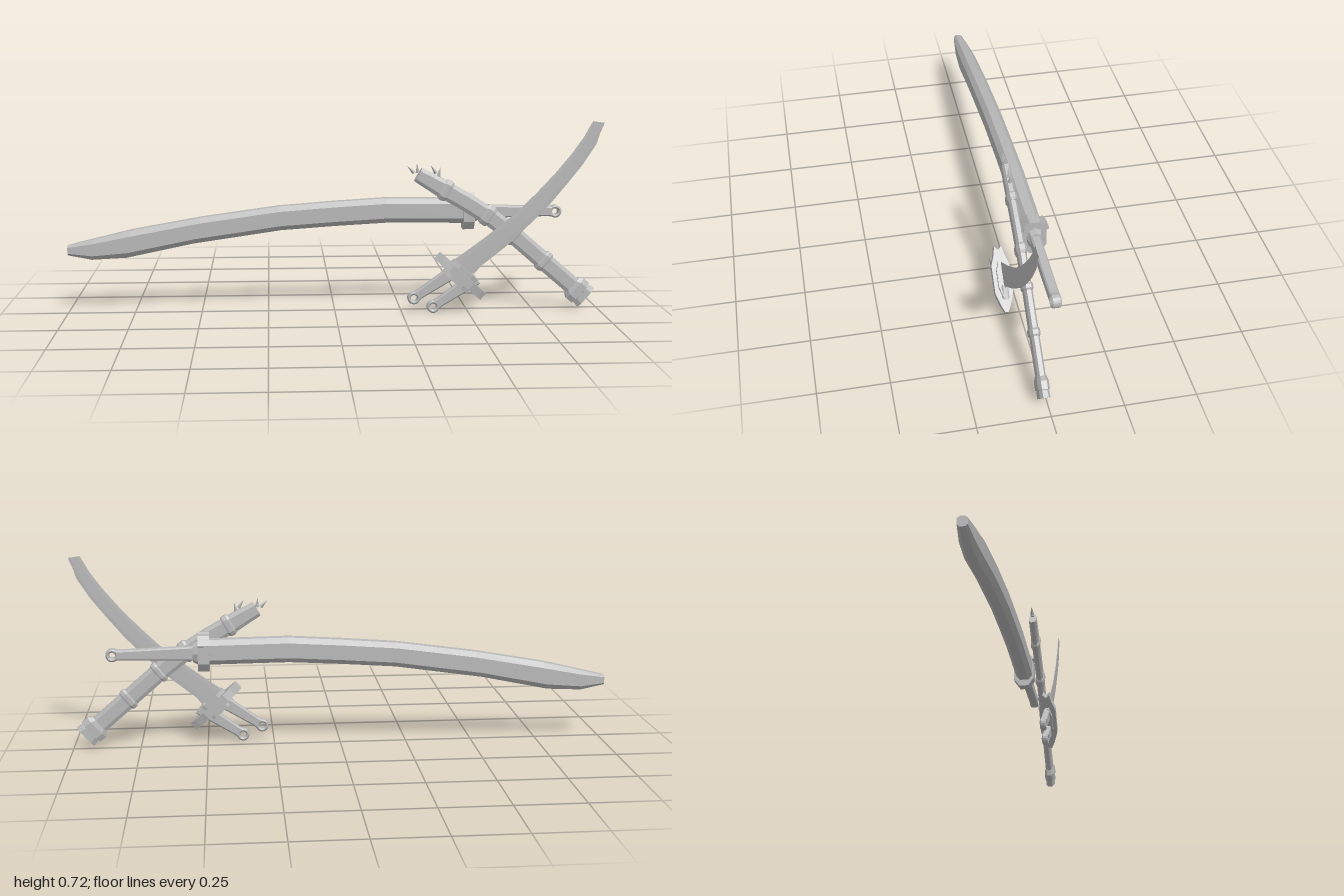
import * as THREE from 'three';

const steel = new THREE.MeshStandardMaterial({ color: 0xb8b8b8, flatShading: true });
steel.name = 'grey steel';

function part(group, name, geometry) {
  const mesh = new THREE.Mesh(geometry, steel);
  mesh.name = name;
  group.add(mesh);
  return mesh;
}

// Octagonal cross-section: fraction across the width, fraction of the depth
const OCT = [[1, 0.5], [0.6, 1], [-0.6, 1], [-1, 0.5], [-1, -0.5], [-0.6, -1], [0.6, -1], [1, -0.5]];

// Stations run left to right: [top x, top y, bottom x, bottom y, half depth]
function loft(stations, z) {
  const pos = [], idx = [], n = OCT.length, last = (stations.length - 1) * n;
  for (const [tx, ty, bx, by, d] of stations) {
    for (const [t, s] of OCT) {
      const k = (t + 1) / 2;
      pos.push(bx + (tx - bx) * k, by + (ty - by) * k, z + s * d);
    }
  }
  for (let i = 0; i < last; i += n) {
    for (let j = 0; j < n; j++) {
      const a = i + j, b = i + (j + 1) % n;
      idx.push(a, b, b + n, a, b + n, a + n);
    }
  }
  for (let j = 1; j < n - 1; j++) idx.push(0, j + 1, j, last, last + j, last + j + 1);
  const g = new THREE.BufferGeometry();
  g.setAttribute('position', new THREE.Float32BufferAttribute(pos, 3));
  g.setIndex(idx);
  const flat = g.toNonIndexed();
  flat.computeVertexNormals();
  return flat;
}

// Plate drawn in the z-y plane from one half of its outline, thickness along x
function plate(half, thickness) {
  const mirror = half.map(([z, y]) => [-z, y]).reverse();
  const shape = new THREE.Shape([...half, ...mirror].map(([z, y]) => new THREE.Vector2(z, y)));
  const g = new THREE.ExtrudeGeometry(shape, { depth: thickness, bevelEnabled: false });
  return g.translate(0, 0, -thickness / 2).rotateY(Math.PI / 2);
}

// Flat grip running from a root to a rounded eye with a hole
function grip(group, name, x0, y0, x1, y1, h0, r, depth, z) {
  const L = Math.hypot(x1 - x0, y1 - y0), b = 0.005;
  const s = new THREE.Shape();
  s.moveTo(0, -h0 + b);
  s.lineTo(L - r * 1.3, -r * 0.75 + b);
  s.absarc(L, 0, r - b, -2.3, 2.3, false);
  s.lineTo(L - r * 1.3, r * 0.75 - b);
  s.lineTo(0, h0 - b);
  s.closePath();
  const hole = new THREE.Path();
  hole.absarc(L, 0, r * 0.5 + b, 0, Math.PI * 2, true);
  s.holes.push(hole);
  const g = new THREE.ExtrudeGeometry(s, {
    depth: depth - 2 * b, bevelEnabled: true, bevelSize: b, bevelThickness: b, bevelSegments: 1, curveSegments: 6,
  });
  const m = part(group, name, g.translate(0, 0, -depth / 2 + b));
  m.position.set(x0, y0, z);
  m.rotation.z = Math.atan2(y1 - y0, x1 - x0);
}

function largeSword() {
  const g = new THREE.Group();
  g.name = 'largeSword';
  const z = -0.041;
  // Thick curved blade with bevelled spine and edge
  part(g, 'largeBlade', loft([
    [-1, 0.254, -1, 0.217, 0.017], [-0.9, 0.278, -0.91, 0.2, 0.026], [-0.76, 0.311, -0.78, 0.207, 0.032],
    [-0.5, 0.357, -0.53, 0.259, 0.033], [-0.21, 0.397, -0.2, 0.307, 0.033],
    [0, 0.413, 0, 0.321, 0.033], [0.195, 0.425, 0.195, 0.332, 0.033], [0.5, 0.421, 0.5, 0.329, 0.033],
  ], z));
  // Octagonal guard with stepped collar and corner tabs
  const guard = new THREE.Group();
  guard.name = 'largeGuard';
  guard.position.set(0.508, 0.371, -0.043);
  g.add(guard);
  part(guard, 'guardPlate', plate([
    [0.018, 0.067], [0.041, 0.035], [0.041, -0.035], [0.018, -0.067],
  ], 0.042));
  const collar = new THREE.CylinderGeometry(0.027, 0.036, 0.02, 8).rotateZ(-Math.PI / 2).scale(1, 1.25, 0.85);
  part(guard, 'guardCollar', collar).position.x = 0.03;
  for (const [y, dz, a] of [[0.058, 0.027, 0.9], [0.045, -0.037, -1.05]]) {
    const tab = part(guard, 'guardTab', new THREE.BoxGeometry(0.042, 0.012, 0.03));
    tab.position.set(0, y, dz);
    tab.rotation.x = a;
  }
  grip(g, 'largeGrip', 0.52, 0.371, 0.84, 0.369, 0.026, 0.024, 0.034, z);
  return g;
}

function scabbard() {
  const g = new THREE.Group();
  g.name = 'scabbard';
  const z = 0.016;
  const curve = new THREE.CatmullRomCurve3(
    [[0.31, 0.52], [0.595, 0.35], [0.785, 0.192], [0.955, 0.045]].map(([x, y]) => new THREE.Vector3(x, y, 0)));
  // Station across the centreline
  const cut = (u, w, d) => {
    const p = curve.getPointAt(u), t = curve.getTangentAt(u);
    return [p.x - t.y * w, p.y + t.x * w, p.x + t.y * w, p.y - t.x * w, d];
  };
  part(g, 'scabbardBody', loft([0, 0.12, 0.25, 0.4, 0.55, 0.7, 0.85, 0.97].map(
    (u) => cut(u, u === 0 ? 0.028 : 0.034, 0.0145)), z));
  // Raised bands
  for (const [u, len] of [[0.15, 0.04], [0.38, 0.045], [0.54, 0.03], [0.73, 0.035]]) {
    part(g, 'scabbardBand', loft([
      cut(u - len / 2, 0.036, 0.016), cut(u - len / 4, 0.041, 0.0185),
      cut(u + len / 4, 0.041, 0.0185), cut(u + len / 2, 0.036, 0.016),
    ], z));
  }
  // Flared foot
  part(g, 'scabbardFoot', loft([
    cut(0.91, 0.038, 0.016), cut(0.93, 0.05, 0.02), cut(0.965, 0.05, 0.02), cut(0.967, 0.042, 0.017),
    cut(1, 0.047, 0.018),
  ], z));
  // Small horns around the mouth
  for (const [x, y, a] of [[0.282, 0.54, 0.8], [0.307, 0.545, 0.1], [0.367, 0.54, 0.6], [0.39, 0.53, -0.2]]) {
    const horn = part(g, 'mouthHorn', new THREE.ConeGeometry(0.008, 0.036, 4));
    horn.position.set(x, y, z);
    horn.rotation.z = a;
  }
  return g;
}

function twinGripSword() {
  const g = new THREE.Group();
  g.name = 'twinGripSword';
  const z = 0.057, d = 0.0018;
  // Thin curved blade
  part(g, 'thinBlade', loft([
    [0.43, 0.195, 0.5, 0.125, d], [0.47, 0.222, 0.545, 0.178, d], [0.565, 0.292, 0.635, 0.25, d],
    [0.676, 0.382, 0.73, 0.34, d], [0.75, 0.455, 0.8, 0.412, d], [0.815, 0.525, 0.864, 0.49, d],
    [0.875, 0.598, 0.92, 0.562, d], [0.92, 0.662, 0.968, 0.638, d], [0.935, 0.69, 0.977, 0.67, d],
    [0.952, 0.72, 0.995, 0.714, d],
  ], z));
  // Long pointed guard with a stepped centre
  const guard = new THREE.Group();
  guard.name = 'twinGuard';
  guard.position.set(0.468, 0.142, z + 0.002);
  guard.rotation.z = 0.83;
  g.add(guard);
  part(guard, 'guardPlate', plate([
    [0, 0.104], [0.013, 0.117], [0.02, 0.085], [0.032, 0.05], [0.032, -0.05], [0.017, -0.095], [0.006, -0.118],
  ], 0.032));
  part(guard, 'guardBoss', plate([
    [0.008, 0.062], [0.018, 0.03], [0.018, -0.03], [0.008, -0.062],
  ], 0.066));
  // Pair of grips side by side
  grip(g, 'upperGrip', 0.46, 0.17, 0.294, 0.06, 0.026, 0.024, 0.024, z);
  grip(g, 'lowerGrip', 0.525, 0.132, 0.367, 0.026, 0.026, 0.024, 0.024, z);
  return g;
}

export function createModel() {
  const model = new THREE.Group();
  model.name = 'swordSet';
  model.add(largeSword(), scabbard(), twinGripSword());
  return model;
}
